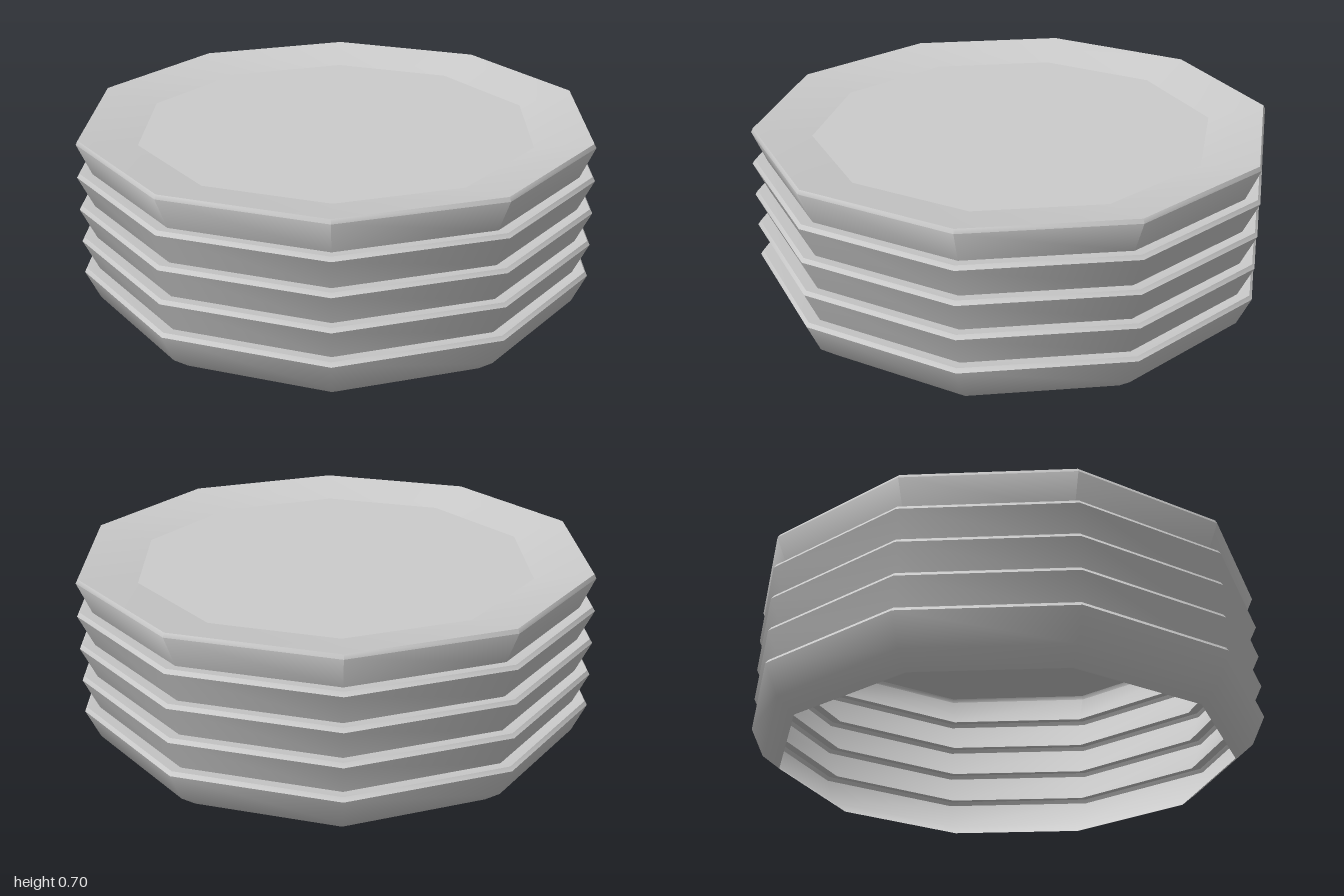
import * as THREE from 'three';
import { toCreasedNormals } from 'three/addons/utils/BufferGeometryUtils.js';

const SIDES = 10;
const TURN = THREE.MathUtils.degToRad(24);
const PITCH = 0.13;

export function createModel() {
  const group = new THREE.Group();
  const material = new THREE.MeshStandardMaterial({ color: 0xcccccc, side: THREE.DoubleSide });

  // ten-sided turned surface from [radius, height] pairs, keeping the rim edges sharp
  function turned(name, profile, y = 0) {
    const points = profile.map(([r, h]) => new THREE.Vector2(r, h));
    const lathe = new THREE.LatheGeometry(points, SIDES, TURN);
    const mesh = new THREE.Mesh(toCreasedNormals(lathe, THREE.MathUtils.degToRad(50)), material);
    mesh.name = name;
    mesh.position.y = y;
    group.add(mesh);
  }

  // bottom plate: bevelled foot, flared wall, thin rim and ledge under the next plate
  const rim = [[1.008, 0.17], [0.998, 0.185]];
  const ledge = [0.95, 0.177];
  turned('bottomPlate', [[0.885, 0], [0.955, 0.055], ...rim, ledge]);

  // middle plates: only the flared wall and rim show above the plate below
  for (let i = 1; i < 4; i++) {
    turned('middlePlate' + i, [[0.95, 0.047], ...rim, ledge], i * PITCH);
  }

  // top plate: wall, rim and the sloping border
  turned('topPlate', [[0.95, 0.047], [1.003, 0.17], [0.995, 0.185], [0.775, 0.143]], 4 * PITCH);

  // flat middle of the top plate
  turned('topPlateFloor', [[0.775, 0.143], [0, 0.143]], 4 * PITCH);

  return group;
}
